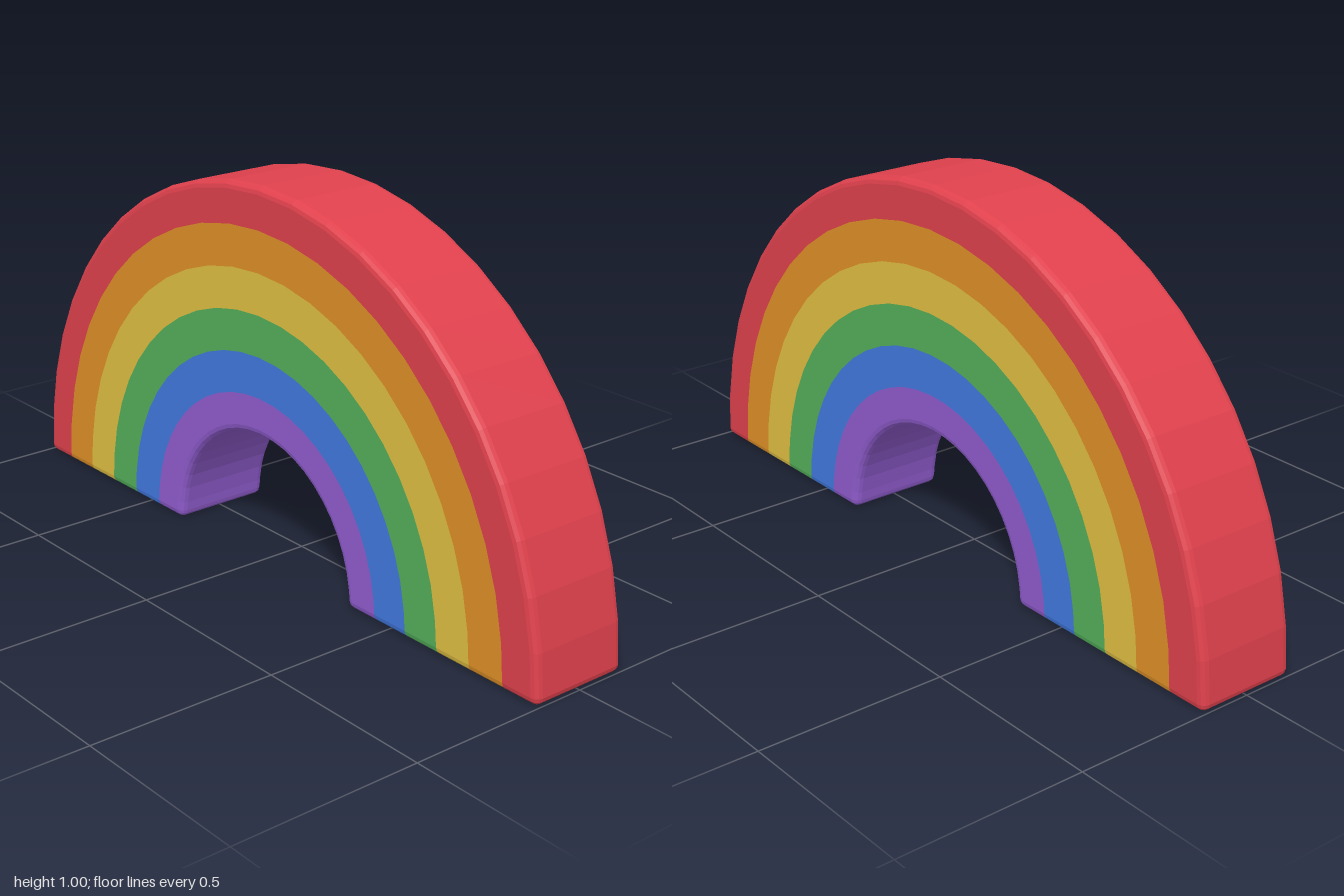
import * as THREE from 'three';

const HALF_DEPTH = 0.14;
const BEVEL = 0.02;
const BEVEL_STEPS = 3;
const ARC_STEPS = 24;
const RADII = [0.345, 0.45, 0.56, 0.67, 0.78, 0.89, 1];
const BANDS = [
  ['purple', 0x905cce], ['blue', 0x4279e0], ['green', 0x54b05a],
  ['yellow', 0xe0bf43], ['orange', 0xe09127], ['red', 0xe0414d],
];

// Closed cross-section (radius, z) of one band; bevel is the current corner radius
function section(r0, r1, roundInner, roundOuter, bevel) {
  const points = [];
  const corner = (r, sr, sz, round, start) => {
    for (let k = 0; k <= (round ? BEVEL_STEPS : 0); k++) {
      const a = start + (k / BEVEL_STEPS) * Math.PI / 2;
      const z = sz * (HALF_DEPTH - BEVEL);
      points.push(round
        ? [r - sr * BEVEL + bevel * Math.cos(a), z + bevel * Math.sin(a)]
        : [r, z + sz * bevel]);
    }
  };
  corner(r1, 1, -1, roundOuter, -Math.PI / 2);
  corner(r1, 1, 1, roundOuter, 0);
  corner(r0, -1, 1, roundInner, Math.PI / 2);
  corner(r0, -1, -1, roundInner, Math.PI);
  return points;
}

// Sweeps a band over the half circle, with rounded feet standing on the ground
function bandGeometry(r0, r1, roundInner, roundOuter) {
  const profile = (bevel) => section(r0, r1, roundInner, roundOuter, bevel);
  const foot = (side, k) => {
    const t = (k / BEVEL_STEPS) * Math.PI / 2;
    return profile(BEVEL * Math.sin(t)).map(([r, z]) => [side * r, BEVEL * (1 - Math.cos(t)), z]);
  };
  const rings = [];
  for (let k = 0; k <= BEVEL_STEPS; k++) rings.push(foot(1, k));
  for (let i = 1; i < ARC_STEPS; i++) {
    const a = (i / ARC_STEPS) * Math.PI;
    rings.push(profile(BEVEL).map(([r, z]) => [r * Math.cos(a), r * Math.sin(a), z]));
  }
  for (let k = BEVEL_STEPS; k >= 0; k--) rings.push(foot(-1, k));

  const n = rings[0].length;
  const index = [];
  for (let i = 0; i < rings.length - 1; i++) {
    for (let j = 0; j < n; j++) {
      const a = i * n + j, b = i * n + (j + 1) % n;
      index.push(a, a + n, b + n, a, b + n, b);
    }
  }
  // Undersides of both feet
  const last = (rings.length - 1) * n;
  for (let j = 1; j < n - 1; j++) {
    index.push(0, j, j + 1, last, last + j + 1, last + j);
  }
  const indexed = new THREE.BufferGeometry();
  indexed.setAttribute('position', new THREE.Float32BufferAttribute(rings.flat(2), 3));
  indexed.setIndex(index);
  const geometry = indexed.toNonIndexed(); // faceted normals
  geometry.computeVertexNormals();
  return geometry;
}

export function createModel() {
  const group = new THREE.Group();
  group.name = 'rainbow';
  BANDS.forEach(([name, color], i) => {
    const material = new THREE.MeshStandardMaterial({ color });
    material.name = name;
    const geometry = bandGeometry(RADII[i], RADII[i + 1], i === 0, i === BANDS.length - 1);
    const band = new THREE.Mesh(geometry, material);
    band.name = `${name}Band`;
    group.add(band);
  });
  return group;
}
